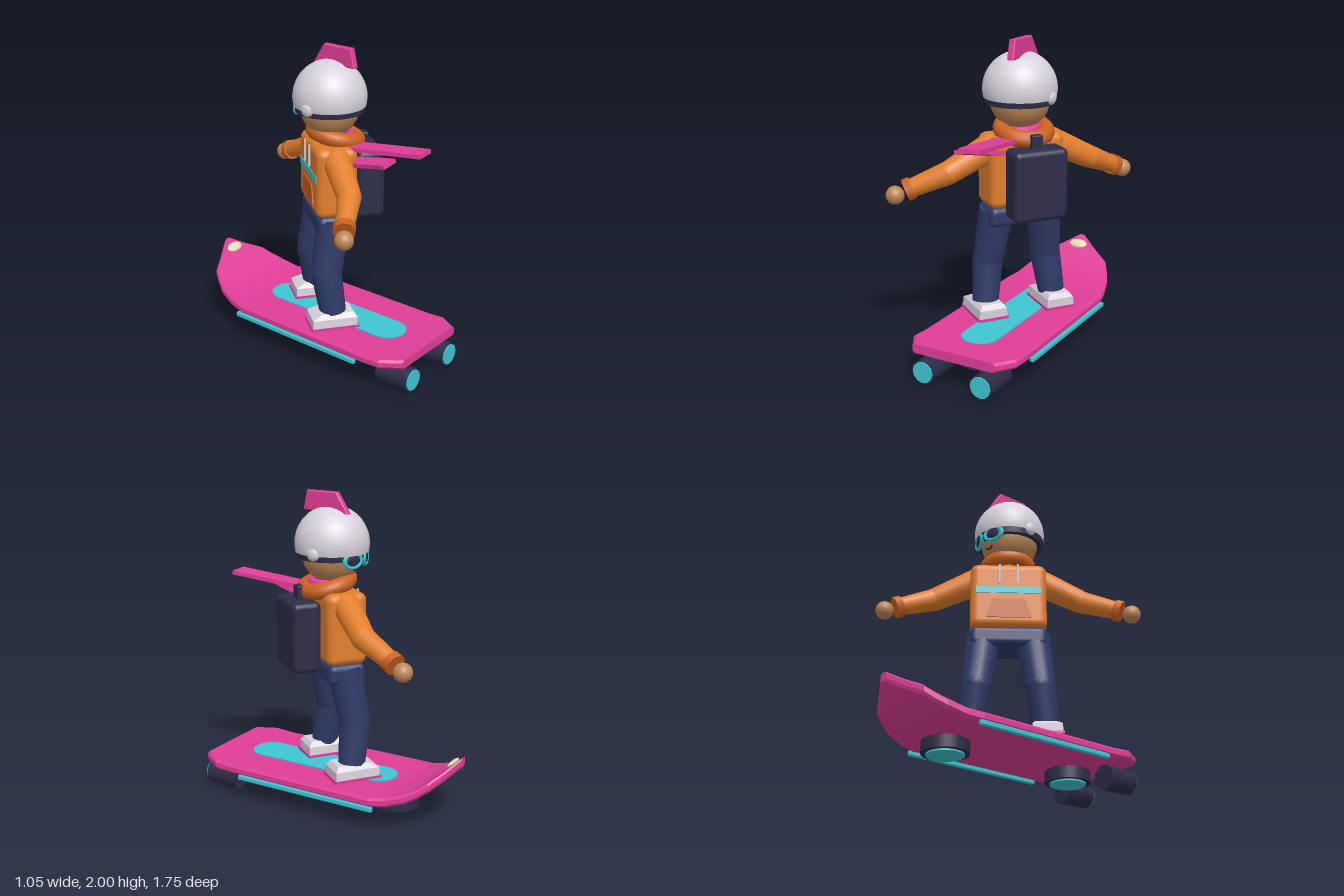
import * as THREE from 'three';
import { RoundedBoxGeometry } from 'three/addons/geometries/RoundedBoxGeometry.js';

const mat = (name, color, extra = {}) => {
  const m = new THREE.MeshStandardMaterial({ color, ...extra });
  m.name = name;
  return m;
};
const V = (x, y, z) => new THREE.Vector3(x, y, z);

export function createModel() {
  const pink = mat('pink', 0xe03e97, { flatShading: true });
  const cyan = mat('cyan', 0x3cc6d2);
  const navy = mat('navy denim', 0x2f3a68);
  const dark = mat('dark indigo', 0x2d2c48);
  const orange = mat('orange cloth', 0xe27e2c);
  const rust = mat('rust trim', 0xcb6220);
  const white = mat('pale lilac', 0xd8d2dc);
  const skin = mat('skin', 0xbd8757);
  const cream = mat('cream', 0xe8dfb6);

  const root = new THREE.Group();
  root.name = 'hoverboardRider';
  const CX = 0.085;

  const add = (parent, name, geo, material, x = 0, y = 0, z = 0) => {
    const m = new THREE.Mesh(geo, material);
    m.name = name;
    m.position.set(x, y, z);
    parent.add(m);
    return m;
  };
  // tapered cylinder from a (radius ra) to b (radius rb)
  const limb = (parent, name, a, b, ra, rb, material, sides = 18) => {
    const d = b.clone().sub(a);
    const m = add(parent, name, new THREE.CylinderGeometry(rb, ra, d.length(), sides), material);
    m.position.copy(a).add(b).multiplyScalar(0.5);
    m.quaternion.setFromUnitVectors(V(0, 1, 0), d.normalize());
    return m;
  };
  const ball = (parent, name, p, r, material) =>
    add(parent, name, new THREE.SphereGeometry(r, 20, 14), material, p.x, p.y, p.z);

  // ---- hoverboard ----
  const board = new THREE.Group();
  board.name = 'hoverboard';
  board.position.x = CX;
  root.add(board);

  const bottomAt = (z) => z < -0.4
    ? 0.17 + 0.235 * Math.pow((-0.4 - z) / 0.475, 2.3)
    : 0.17 + 0.015 * Math.max(0, (z - 0.6) / 0.245);
  const stations = [[-0.875, 0.03], [-0.815, 0.135], [-0.756, 0.24], [-0.695, 0.278], [-0.635, 0.31],
    [-0.52, 0.34], [-0.42, 0.362], [0.6, 0.362], [0.72, 0.362], [0.845, 0.285]];
  const pos = [], idx = [], N = 8, c = 0.015;
  for (const [z, w] of stations) {
    const b = bottomAt(z), t = b + 0.06;
    for (const [x, y] of [[w, b + c], [w, t - c], [w - c, t], [c - w, t],
      [-w, t - c], [-w, b + c], [c - w, b], [w - c, b]]) pos.push(x, y, z);
  }
  const last = (stations.length - 1) * N;
  for (let s = 0; s < last; s += N) {
    for (let i = 0; i < N; i++) {
      const j = (i + 1) % N;
      idx.push(s + i, s + j, s + N + i, s + j, s + N + j, s + N + i);
    }
  }
  for (let i = 1; i < N - 1; i++) idx.push(0, i + 1, i, last, last + i, last + i + 1);
  let deck = new THREE.BufferGeometry();
  deck.setAttribute('position', new THREE.Float32BufferAttribute(pos, 3));
  deck.setIndex(idx);
  deck = deck.toNonIndexed();
  deck.computeVertexNormals();
  add(board, 'deck', deck, pink);

  // grip pad
  const pad = new THREE.Shape();
  pad.absarc(0, 0.296, 0.12, 0, Math.PI);
  pad.absarc(0, -0.528, 0.12, Math.PI, Math.PI * 2);
  add(board, 'gripPad', new THREE.ExtrudeGeometry(pad, { depth: 0.008, bevelEnabled: false, curveSegments: 16 }),
    cyan, 0, 0.229, 0).rotation.x = -Math.PI / 2;

  // nose lamp
  const lamp = add(board, 'noseLamp', new THREE.SphereGeometry(1, 20, 12), cream, 0, 0.418, -0.81);
  lamp.scale.set(0.065, 0.014, 0.034);
  lamp.rotation.x = 0.75;

  // side rails and tail thrusters
  for (const s of [-1, 1]) {
    add(board, 'sideRail', new RoundedBoxGeometry(0.03, 0.032, 0.99, 2, 0.008), cyan, s * 0.358, 0.16, 0.045);
    add(board, 'thruster', new THREE.CylinderGeometry(0.075, 0.083, 0.225, 12), dark, s * 0.2, 0.085, 0.753)
      .rotation.x = Math.PI / 2;
    add(board, 'thrusterGlow', new THREE.CylinderGeometry(0.068, 0.068, 0.02, 12), cyan, s * 0.2, 0.085, 0.865)
      .rotation.x = Math.PI / 2;
  }
  // hover pads below
  for (const z of [-0.43, 0.52]) {
    add(board, 'hoverPad', new THREE.CylinderGeometry(0.145, 0.145, 0.075, 28), dark, 0, 0.103, z);
    add(board, 'hoverGlow', new THREE.CylinderGeometry(0.115, 0.115, 0.012, 28), cyan, 0, 0.061, z);
    add(board, 'hoverStem', new THREE.CylinderGeometry(0.06, 0.06, 0.05, 12), dark, 0, 0.155, z);
  }

  // ---- rider body, turned sideways on the board ----
  const body = new THREE.Group();
  body.name = 'riderBody';
  body.position.set(CX, 0, 0.035);
  body.rotation.y = -2.21;
  root.add(body);

  const bootGeo = new THREE.BoxGeometry(0.19, 0.085, 0.29, 1, 2, 1);
  const bp = bootGeo.attributes.position;
  for (let i = 0; i < bp.count; i++) {
    const y = bp.getY(i), z = bp.getZ(i);
    if (y > 0.01) { // narrow upper, low toe
      bp.setX(i, bp.getX(i) * 0.72);
      bp.setZ(i, z > 0 ? z * 0.6 : z * 0.85);
    } else if (y > -0.01) {
      bp.setX(i, bp.getX(i) * 0.95);
      bp.setY(i, 0.012);
    }
  }
  const boot = bootGeo.toNonIndexed();
  boot.computeVertexNormals();

  for (const s of [-1, 1]) {
    // legs
    const hip = V(s * 0.16, 0.93, 0.005), knee = V(s * 0.2, 0.58, 0.06), ankle = V(s * 0.232, 0.32, 0.025);
    limb(body, 'thigh', hip, knee, 0.11, 0.098, navy);
    ball(body, 'knee', knee, 0.097, navy);
    limb(body, 'shin', knee, ankle, 0.098, 0.085, navy);
    add(body, 'bootSole', new THREE.BoxGeometry(0.2, 0.016, 0.31), pink, s * 0.234, 0.244, 0.03);
    add(body, 'boot', boot, white, s * 0.234, 0.293, 0.03);
    // arms
    const shoulder = V(s * 0.21, 1.33, 0), elbow = V(s * 0.48, 1.2, -0.005);
    const wrist = V(s * 0.705, 1.1, 0.085), hand = V(s * 0.785, 1.065, 0.108);
    ball(body, 'shoulder', shoulder, 0.088, orange);
    limb(body, 'upperSleeve', shoulder, elbow, 0.088, 0.073, orange);
    ball(body, 'elbow', elbow, 0.073, orange);
    limb(body, 'lowerSleeve', elbow, wrist, 0.073, 0.056, orange);
    const dir = hand.clone().sub(wrist).normalize();
    limb(body, 'cuff', wrist.clone().addScaledVector(dir, -0.025), wrist.clone().addScaledVector(dir, 0.02),
      0.07, 0.07, rust, 8);
    ball(body, 'hand', hand, 0.058, skin);
    // drawstrings
    add(body, 'drawstring', new THREE.CylinderGeometry(0.007, 0.007, 0.14, 8), white, s * 0.058, 1.325, 0.137);
  }

  add(body, 'pelvis', new RoundedBoxGeometry(0.49, 0.13, 0.24, 3, 0.04), navy, 0, 0.905, 0);
  add(body, 'hoodie', new RoundedBoxGeometry(0.49, 0.45, 0.26, 4, 0.05), orange, 0, 1.185, 0);
  add(body, 'chestStripe', new THREE.BoxGeometry(0.42, 0.045, 0.009), cyan, 0, 1.215, 0.131);

  const pocket = new THREE.Shape([[-0.145, 0], [0.145, 0], [0.105, 0.13], [-0.105, 0.13]]
    .map(([x, y]) => new THREE.Vector2(x, y)));
  add(body, 'pocket', new THREE.ExtrudeGeometry(pocket, { depth: 0.009, bevelEnabled: false }), rust, 0, 1.02, 0.128);

  // hood rolled around the neck
  add(body, 'hood', new THREE.TorusGeometry(0.14, 0.052, 12, 28), rust, 0, 1.435, -0.045)
    .rotation.x = Math.PI / 2 - 0.25;
  limb(body, 'neck', V(0, 1.38, 0), V(0, 1.5, 0), 0.09, 0.085, skin);

  // backpack
  add(body, 'backpack', new RoundedBoxGeometry(0.35, 0.44, 0.18, 4, 0.035), dark, 0, 1.14, -0.235);
  add(body, 'backpackHandle', new RoundedBoxGeometry(0.075, 0.1, 0.045, 2, 0.01), dark, 0, 1.39, -0.23);

  // ---- scarf ----
  const ring = add(root, 'scarfLoop', new THREE.TorusGeometry(0.115, 0.026, 10, 28), pink, CX, 1.445, 0.065);
  ring.rotation.x = Math.PI / 2;
  const tail = (a, b, w, roll) => {
    const m = add(root, 'scarfTail', new THREE.BoxGeometry(w, 0.026, a.distanceTo(b)), pink);
    m.position.copy(a).add(b).multiplyScalar(0.5);
    m.lookAt(b);
    m.rotateZ(roll);
  };
  tail(V(0.09, 1.39, 0.18), V(0.14, 1.445, 0.725), 0.135, 0);
  tail(V(0.05, 1.31, 0.24), V(-0.01, 1.39, 0.575), 0.105, 0.2);

  // ---- head, looking along the board ----
  const head = new THREE.Group();
  head.name = 'head';
  head.position.set(CX, 0, 0.045);
  root.add(head);
  ball(head, 'face', V(0, 1.62, 0), 0.187, skin);
  const bandY = 1.62;
  add(head, 'goggleStrap', new THREE.CylinderGeometry(0.219, 0.215, 0.045, 36), dark, 0, bandY, 0);
  add(head, 'helmet', new THREE.SphereGeometry(0.231, 36, 20, 0, Math.PI * 2, 0, Math.PI * 0.57), white, 0, 1.683, 0);

  // goggles and ear caps
  for (const s of [-1, 1]) {
    ball(head, 'earCap', V(s * 0.217, 1.645, 0), 0.043, white).scale.x = 0.6;
    const eye = new THREE.Group();
    eye.name = 'goggleEye';
    const a = s * 0.37;
    eye.position.set(Math.sin(a) * 0.205, 1.602, -Math.cos(a) * 0.205);
    eye.rotation.y = Math.PI - a;
    head.add(eye);
    add(eye, 'goggleRim', new THREE.TorusGeometry(0.053, 0.014, 10, 24), cyan).scale.set(1.15, 0.8, 1);
    add(eye, 'goggleLens', new THREE.SphereGeometry(0.052, 18, 12), dark).scale.set(1.15, 0.8, 0.3);
  }
  add(head, 'goggleBridge', new THREE.BoxGeometry(0.06, 0.035, 0.03), dark, 0, 1.605, -0.205);

  // smile
  add(head, 'mouth', new THREE.TorusGeometry(0.035, 0.006, 6, 12, Math.PI * 0.7), dark, 0, 1.565, -0.168)
    .rotation.z = Math.PI * 1.15;

  // crest fin
  const fin = new THREE.Shape([[-0.215, 1.885], [0.09, 1.875], [0.012, 1.994], [-0.19, 1.994]]
    .map(([x, y]) => new THREE.Vector2(x, y)));
  add(root, 'helmetFin', new THREE.ExtrudeGeometry(fin, {
    depth: 0.03, bevelEnabled: true, bevelSize: 0.006, bevelThickness: 0.007, bevelSegments: 1,
  }), pink, CX + 0.015, 0, 0).rotation.y = Math.PI / 2;

  return root;
}
